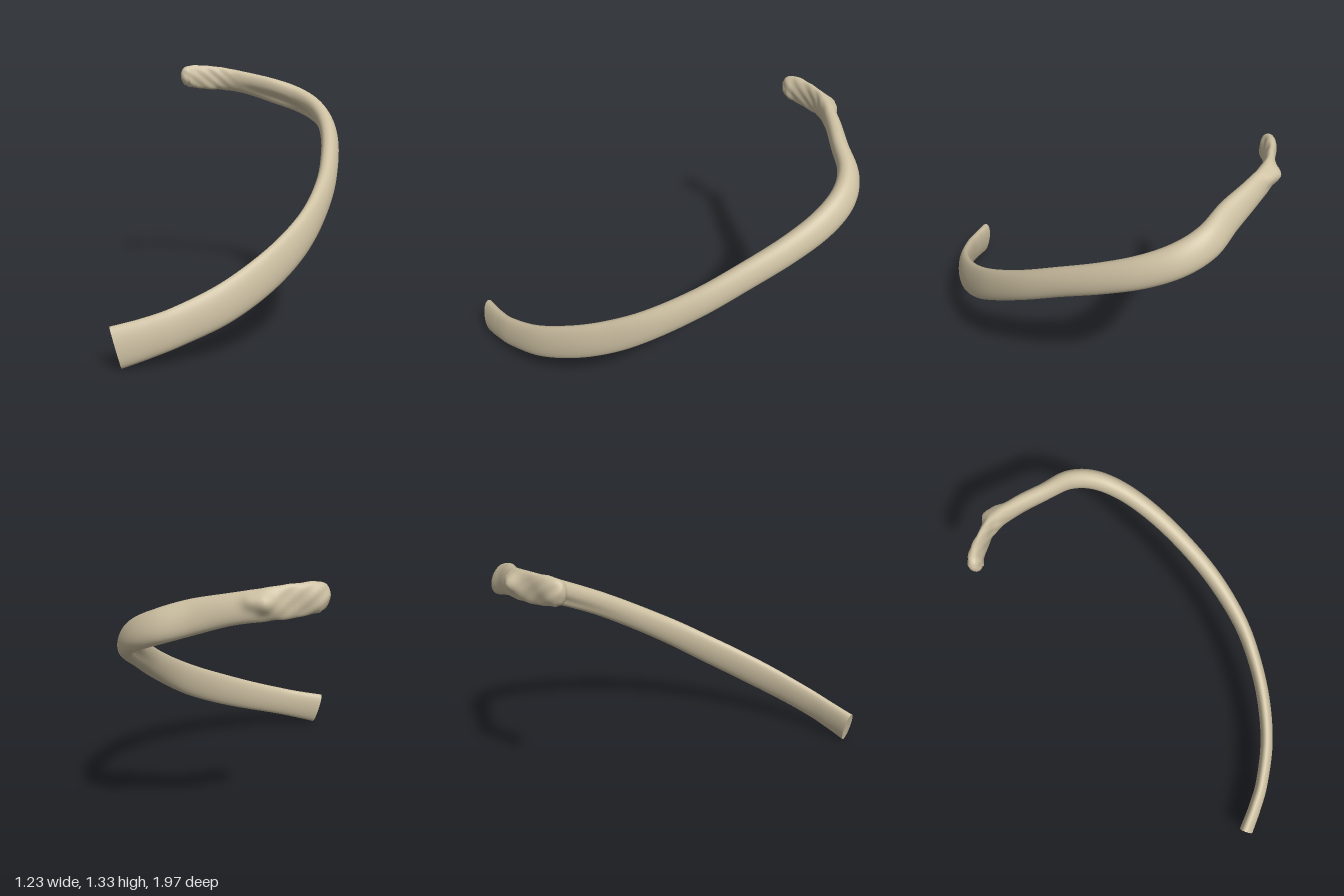
import * as THREE from 'three';

// Stations from the cut front end to the head: [x, y, z, half height, half thickness, twist]
const STATIONS = [
  [0.075, 0.095, 0.955, 0.097, 0.036, -0.12],
  [0.175, 0.130, 0.875, 0.091, 0.034, -0.12],
  [0.280, 0.175, 0.775, 0.088, 0.033, -0.12],
  [0.410, 0.252, 0.600, 0.091, 0.034, -0.14],
  [0.500, 0.347, 0.400, 0.092, 0.035, -0.16],
  [0.551, 0.448, 0.200, 0.088, 0.036, -0.18],
  [0.567, 0.560, 0.000, 0.080, 0.039, -0.18],
  [0.537, 0.690, -0.230, 0.073, 0.043, -0.2],
  [0.472, 0.810, -0.440, 0.070, 0.045, -0.25],
  [0.385, 0.915, -0.640, 0.071, 0.047, -0.3],
  [0.285, 1.000, -0.795, 0.074, 0.049, -0.36],
  [0.170, 1.070, -0.893, 0.076, 0.051, -0.42],
  [0.040, 1.126, -0.925, 0.077, 0.050, -0.42],
  [-0.110, 1.177, -0.893, 0.076, 0.044, -0.35],
  [-0.270, 1.220, -0.865, 0.067, 0.040, -0.22],
  [-0.400, 1.244, -0.828, 0.068, 0.032, -0.1],
  [-0.490, 1.255, -0.765, 0.072, 0.024, 0],
  [-0.555, 1.262, -0.700, 0.069, 0.031, 0],
  [-0.582, 1.257, -0.663, 0.064, 0.035, 0],
  [-0.594, 1.250, -0.642, 0.048, 0.026, 0],
];
const STEPS = 170;
const SIDES = 36;

const curveOf = (offset) => new THREE.CatmullRomCurve3(
  STATIONS.map((s) => new THREE.Vector3(s[offset], s[offset + 1], s[offset + 2])), false, 'catmullrom', 0.5);
const path = curveOf(0);
const size = curveOf(3);

const gauss = (x, width) => Math.exp(-(x * x) / (width * width));
const smooth = THREE.MathUtils.smoothstep;

// One oval ring of the bone, with the inner groove and the knobs near the head
function ring(t) {
  const centre = path.getPoint(t);
  const tangent = path.getTangent(t);
  const { x: h, y: w, z: twist } = size.getPoint(t);
  const up0 = new THREE.Vector3(0, 1, 0).addScaledVector(tangent, -tangent.y).normalize();
  const side0 = new THREE.Vector3().crossVectors(tangent, up0);
  const up = up0.clone().multiplyScalar(Math.cos(twist)).addScaledVector(side0, Math.sin(twist));
  const side = side0.clone().multiplyScalar(Math.cos(twist)).addScaledVector(up0, -Math.sin(twist));
  const groove = 0.35 * smooth(t, 0.35, 0.55) * (1 - smooth(t, 0.66, 0.78));
  const rough = 0.004 * smooth(t, 0.74, 0.82);
  const points = [];
  for (let j = 0; j < SIDES; j++) {
    const a = (j / SIDES) * Math.PI * 2;
    const c = Math.cos(a);
    const s = Math.sin(a);
    let across = Math.sign(c) * Math.pow(Math.abs(c), 0.9) * w;
    if (c < 0) across *= 1 - groove * gauss(s + 0.35, 0.35);
    const p = centre.clone().addScaledVector(up, s * h).addScaledVector(side, across);
    const out = side.clone().multiplyScalar(c).addScaledVector(up, s * 0.5);
    const knob = 0.036 * gauss(p.distanceTo(KNOB), 0.04) + 0.016 * gauss(p.distanceTo(SMALL_KNOB), 0.03);
    const bumps = rough * Math.sin(p.x * 75 + p.y * 40) * Math.sin(p.y * 60 - p.z * 35);
    points.push(p.addScaledVector(out, knob + bumps));
  }
  return { centre, tangent, points };
}
const KNOB = new THREE.Vector3(-0.42, 1.26, -0.855);
const SMALL_KNOB = new THREE.Vector3(-0.365, 1.265, -0.875);

function geometryFrom(points, index) {
  const geometry = new THREE.BufferGeometry().setFromPoints(points);
  geometry.setIndex(index);
  geometry.computeVertexNormals();
  return geometry;
}

// Long curved shaft closed by a rounded head
function shaftGeometry(rings) {
  const points = rings.flatMap((r) => r.points);
  const index = [];
  for (let i = 0; i < STEPS; i++) {
    for (let j = 0; j < SIDES; j++) {
      const k = (j + 1) % SIDES;
      const a = i * SIDES + j;
      const b = i * SIDES + k;
      index.push(a, a + SIDES, b, b, a + SIDES, b + SIDES);
    }
  }
  // Domed tip of the head
  const last = rings[STEPS];
  let start = STEPS * SIDES;
  for (const [scale, lift] of [[0.8, 0.008], [0.45, 0.014]]) {
    const next = points.length;
    last.points.forEach((p) => points.push(
      last.centre.clone().lerp(p, scale).addScaledVector(last.tangent, lift)));
    for (let j = 0; j < SIDES; j++) {
      const k = (j + 1) % SIDES;
      index.push(start + j, next + j, start + k, start + k, next + j, next + k);
    }
    start = next;
  }
  const tip = points.length;
  points.push(last.centre.clone().addScaledVector(last.tangent, 0.016));
  for (let j = 0; j < SIDES; j++) index.push(tip, start + ((j + 1) % SIDES), start + j);
  return geometryFrom(points, index);
}

// Slightly hollow cut face at the front end
function endGeometry(first) {
  const points = [...first.points, first.centre.clone().addScaledVector(first.tangent, 0.006)];
  const index = [];
  for (let j = 0; j < SIDES; j++) index.push(SIDES, j, (j + 1) % SIDES);
  return geometryFrom(points, index);
}

export function createModel() {
  const bone = new THREE.MeshStandardMaterial({ color: 0xcdc0a2 });
  bone.name = 'bone';
  const rings = Array.from({ length: STEPS + 1 }, (_, i) => ring(i / STEPS));

  const group = new THREE.Group();
  group.name = 'rib';
  const add = (name, geometry) => {
    const mesh = new THREE.Mesh(geometry, bone);
    mesh.name = name;
    group.add(mesh);
  };
  add('ribShaft', shaftGeometry(rings));
  add('frontEndFace', endGeometry(rings[0]));
  return group;
}
